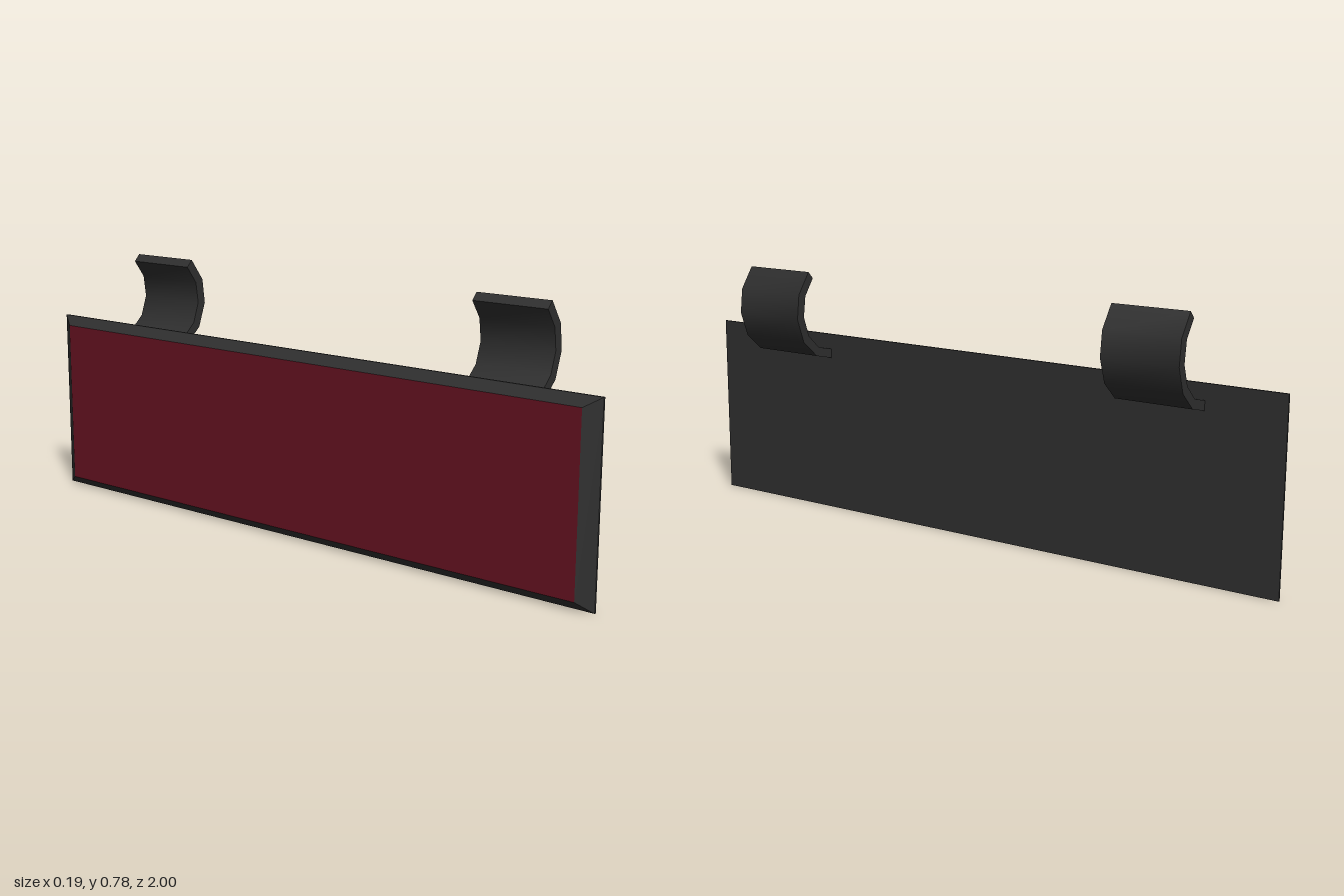
import * as THREE from 'three';
import { toCreasedNormals } from 'three/addons/utils/BufferGeometryUtils.js';

export function createModel() {
  const model = new THREE.Group();
  const dark = new THREE.MeshStandardMaterial({ color: 0x2f2f2f });
  dark.name = 'dark grey';
  const red = new THREE.MeshStandardMaterial({ color: 0x681322 });
  red.name = 'deep red';

  const add = (name, geometry, material) => {
    const mesh = new THREE.Mesh(geometry, material);
    mesh.name = name;
    model.add(mesh);
    return mesh;
  };

  const height = 0.57, length = 2;
  const xFace = -0.097, xRim = -0.069, xBack = -0.063;

  // Thin square-edged rim of the plate
  add('plateRim', new THREE.BoxGeometry(xBack - xRim, height, length), dark)
    .position.set((xBack + xRim) / 2, height / 2, 0);

  // Bevelled part of the plate: the -x side of a box is shrunk and coloured
  const bevel = new THREE.BoxGeometry(xRim - xFace, height, length);
  const p = bevel.attributes.position;
  for (let i = 0; i < p.count; i++) {
    if (p.getX(i) < 0) {
      p.setY(i, p.getY(i) - Math.sign(p.getY(i)) * 0.028);
      p.setZ(i, p.getZ(i) - Math.sign(p.getZ(i)) * 0.045);
    }
  }
  bevel.computeVertexNormals();
  add('bevelledPlate', bevel, [dark, red, dark, dark, dark, dark])
    .position.set((xRim + xFace) / 2, height / 2, 0);

  // Curved hook profile, outer side then inner side
  const profile = [
    [-0.065, 0.493], [0.009, 0.511], [0.069, 0.563], [0.096, 0.638], [0.087, 0.713], [0.04, 0.779],
    [0.02, 0.758], [0.057, 0.706], [0.066, 0.641], [0.044, 0.579], [-0.002, 0.537], [-0.065, 0.522],
  ].map(([x, y]) => new THREE.Vector2(x, y));
  const hook = toCreasedNormals(
    new THREE.ExtrudeGeometry(new THREE.Shape(profile), { depth: 0.236, bevelEnabled: false }), 0.75);

  add('frontHook', hook, dark).position.z = 0.543;
  add('rearHook', hook, dark).position.z = -0.761;

  return model;
}
